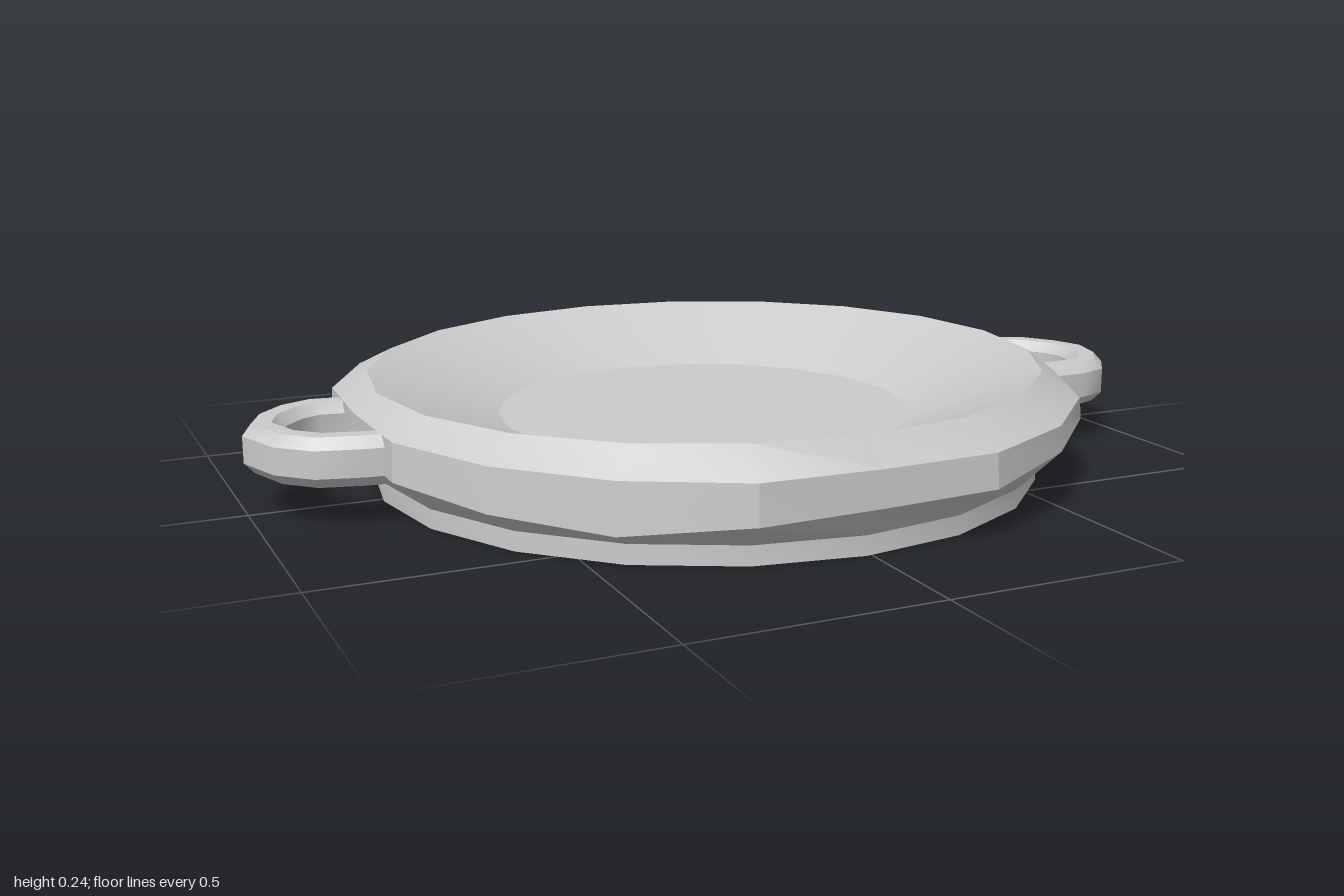
import * as THREE from 'three';
import { toCreasedNormals } from 'three/addons/utils/BufferGeometryUtils.js';

const material = new THREE.MeshStandardMaterial({ color: 0xcccccc });

// Uneven height of the lower wall edge, one value per side, starting at the front
const SIDES = 20;
const wallEdge = [0.1, 0.105, 0.125, 0.135, 0.12, 0.09, 0.08, 0.085, 0.085, 0.085,
  0.09, 0.09, 0.09, 0.1, 0.11, 0.11, 0.105, 0.09, 0.075, 0.095];

// Hand-shaped dish: a 20-sided lathe, made uneven by a few rules
function createDish() {
  const profile = [
    [0, 0.09], [0.665, 0.09], [0.677, 0], [0.72, 0], [0.72, 0.04], // recessed underside and foot
    [0.81, 0.1], [0.806, 0.187],                                   // outer wall
    [0.725, 0.233], [0.45, 0.127], [0, 0.127],                     // rim, inner slope, floor
  ].map(([r, y]) => new THREE.Vector2(r, y));
  const geometry = new THREE.LatheGeometry(profile, SIDES);
  const p = geometry.attributes.position;
  for (let i = 0; i < p.count; i++) {
    const ring = i % profile.length;
    const side = Math.floor(i / profile.length) % SIDES;
    const phi = (side / SIDES) * Math.PI * 2;
    let x = p.getX(i), y = p.getY(i), z = p.getZ(i);
    if (ring === 5 || ring === 6) {
      // wall slightly squared off, with a dent at the back on the left side
      const upper = ring === 6;
      if (side === 7) { x *= 0.925; z *= 0.925; }
      x = THREE.MathUtils.clamp(x, -0.78, upper ? 0.75 : 0.765);
      z = THREE.MathUtils.clamp(z, upper ? -0.755 : -0.78, 0.775);
      y = upper ? y - 0.012 * Math.max(0, Math.cos(phi)) : wallEdge[side];
    } else if (ring > 0 && ring < 9) {
      x -= 0.01;
      z += 0.015;
      if (ring === 7) y += 0.006 * Math.sin(phi);
    }
    p.setXYZ(i, x, y, z);
  }
  const mesh = new THREE.Mesh(toCreasedNormals(geometry, 0.34), material);
  mesh.name = 'dish';
  return mesh;
}

// Loop handle: an eight-sided section swept along a flat path of [x, z] points
function createHandle(name, path) {
  const section = [[0.04, -0.028], [0.04, 0.028], [0.02, 0.05], [-0.015, 0.05],
    [-0.036, 0.028], [-0.036, -0.028], [-0.015, -0.05], [0.02, -0.05]];
  const n = section.length;
  const points = path.map(([x, z]) => new THREE.Vector2(x, z));
  const positions = [], index = [];
  points.forEach((point, i) => {
    // mitred sideways direction at each path point
    const before = points[Math.max(i - 1, 0)], after = points[Math.min(i + 1, points.length - 1)];
    const a = point.clone().sub(before).normalize();
    const b = after.clone().sub(point).normalize();
    const t = a.clone().add(b).normalize();
    const miter = 1 / Math.max(t.dot(a), t.dot(b));
    for (const [s, h] of section) {
      positions.push(point.x + t.y * s * miter, 0.135 + h, point.y - t.x * s * miter);
    }
    if (i === 0) return;
    for (let j = 0; j < n; j++) {
      const k = (j + 1) % n, p0 = (i - 1) * n, p1 = i * n;
      index.push(p0 + j, p0 + k, p1 + j, p0 + k, p1 + k, p1 + j);
    }
  });
  const geometry = new THREE.BufferGeometry();
  geometry.setAttribute('position', new THREE.Float32BufferAttribute(positions, 3));
  geometry.setIndex(index);
  const mesh = new THREE.Mesh(toCreasedNormals(geometry, 0.6), material);
  mesh.name = name;
  return mesh;
}

export function createModel() {
  const group = new THREE.Group();
  group.name = 'handledDish';
  group.add(createDish());
  group.add(createHandle('leftHandle',
    [[0.71, -0.13], [0.82, -0.13], [0.895, -0.095], [0.94, -0.03], [0.96, 0.03],
      [0.94, 0.105], [0.9, 0.16], [0.85, 0.178], [0.71, 0.18]]));
  group.add(createHandle('rightHandle',
    [[-0.71, 0.17], [-0.8, 0.16], [-0.88, 0.14], [-0.93, 0.09], [-0.96, 0],
      [-0.935, -0.07], [-0.885, -0.125], [-0.83, -0.15], [-0.71, -0.135]]));
  return group;
}
